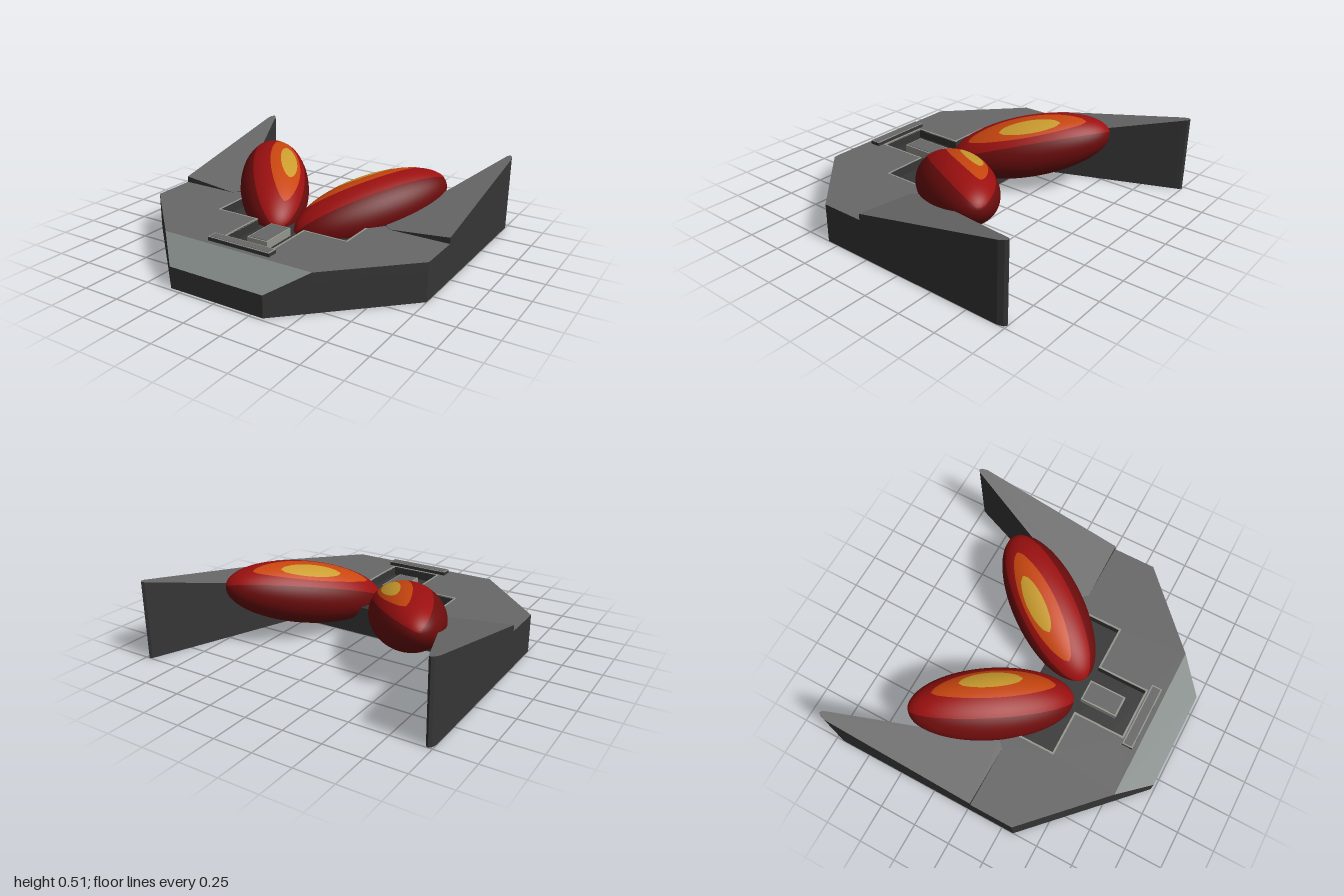
import * as THREE from 'three';

const mat = (name, color, side = THREE.FrontSide) => {
  const m = new THREE.MeshStandardMaterial({ color, side });
  m.name = name;
  return m;
};

// Upright prism over an outline of [x, z] points; top is a height or a rule (x, z) => y.
function prism(name, outline, bottom, top, topMat, sideMat) {
  const shape = new THREE.Shape(outline.map(([x, z]) => new THREE.Vector2(x, -z)));
  const g = new THREE.ExtrudeGeometry(shape, { depth: 1, bevelEnabled: false });
  g.rotateX(-Math.PI / 2);
  const p = g.attributes.position;
  for (let i = 0; i < p.count; i++) {
    const high = typeof top === 'function' ? top(p.getX(i), p.getZ(i)) : top;
    p.setY(i, p.getY(i) > 0.5 ? high : bottom);
  }
  g.computeVertexNormals();
  // lower lid and walls take the side colour, upper lid the top colour
  const lids = g.groups[0].count;
  g.clearGroups();
  g.addGroup(0, lids / 2, 1);
  g.addGroup(lids / 2, lids / 2, 0);
  g.addGroup(lids, p.count - lids, 1);
  const mesh = new THREE.Mesh(g, [topMat, sideMat]);
  mesh.name = name;
  return mesh;
}

const mirrored = (half) => [...half, ...half.map(([x, z]) => [-x, z]).reverse()];

// Part of an ellipsoid lying along z: latitudes mid +- len, angle from the top a0 +- width(s).
const RADII = [0.234, 0.2, 0.534];
function ellipsoidPatch(scale, mid, len, a0, width, rows, cols) {
  const pos = [], index = [];
  for (let i = 0; i <= rows; i++) {
    const s = (i / rows) * 2 - 1;
    const lat = mid + s * len;
    for (let j = 0; j <= cols; j++) {
      const a = a0 + ((j / cols) * 2 - 1) * width(s);
      pos.push(
        scale * RADII[0] * Math.cos(lat) * Math.sin(a),
        scale * RADII[1] * Math.cos(lat) * Math.cos(a),
        scale * RADII[2] * Math.sin(lat));
      if (i < rows && j < cols) {
        const k = i * (cols + 1) + j, n = k + cols + 1;
        index.push(k, n, k + 1, k + 1, n, n + 1);
      }
    }
  }
  const g = new THREE.BufferGeometry();
  g.setAttribute('position', new THREE.Float32BufferAttribute(pos, 3));
  g.setIndex(index);
  g.computeVertexNormals();
  return g;
}

export function createModel() {
  const model = new THREE.Group();
  model.name = 'model';

  const grey = mat('grey', 0x686868);
  const dark = mat('dark grey', 0x363636);
  const pale = mat('pale grey', 0x808783);
  const trim = mat('light trim', 0x96968f);
  const maroon = mat('maroon', 0x6c0c0c);
  const red = mat('red', 0x9c1010);
  const orange = mat('orange', 0xc8460f);
  const yellow = mat('yellow', 0xcb9c2e);

  // Base slab, its top is the floor of the recess
  const flank = [[0.56, 0], [0.6, 0.04], [1, 0.04], [1, 0.33], [0.526, 0.79]];
  model.add(prism('base', mirrored(flank), 0, 0.19, dark, dark));

  // Deck with the stepped recess open at the back
  const recess = [[0.17, 0.67], [0.17, 0.33], [0.47, 0.33], [0.47, 0]];
  model.add(prism('deck', mirrored([...recess, ...flank]), 0.19, 0.25, grey, dark));

  // Sloping nose
  model.add(prism('nose', mirrored([[0.526, 0.79], [0.33, 0.98]]), 0,
    (x, z) => 0.25 - ((z - 0.79) / 0.19) * 0.11, pale, dark));

  // Wings rising towards the back
  const wing = [[1, 0.04], [0.6, 0.04], [0.56, 0], [0.945, -0.96], [0.958, -0.99],
    [0.975, -1], [0.99, -0.985], [1, -0.95]];
  for (const side of [1, -1]) {
    model.add(prism(side > 0 ? 'leftWing' : 'rightWing', wing.map(([x, z]) => [x * side, z]), 0,
      (x, z) => 0.29 + 0.1 * (Math.abs(x) - 1) + 0.212 * (0.04 - z), grey, dark));
  }

  const box = (name, w, h, d, x, y, z, m) => {
    const b = new THREE.Mesh(new THREE.BoxGeometry(w, h, d), m);
    b.position.set(x, y, z);
    b.name = name;
    model.add(b);
  };

  // Light trim round the recess
  const t = 0.012;
  for (const s of [1, -1]) {
    box('recessTrim', t, 0.008, 0.33, s * 0.476, 0.248, 0.165, trim);
    box('recessTrim', 0.312, 0.008, t, s * 0.326, 0.248, 0.336, trim);
    box('recessTrim', t, 0.008, 0.34, s * 0.176, 0.248, 0.5, trim);
  }
  box('recessTrim', 0.364, 0.008, t, 0, 0.248, 0.676, trim);

  // Latch block in the recess and cross bar in front of it
  box('latchBlock', 0.145, 0.055, 0.25, 0, 0.2125, 0.45, trim);
  box('latchTop', 0.125, 0.006, 0.23, 0, 0.24, 0.45, grey);
  box('crossBar', 0.44, 0.025, 0.07, 0, 0.2605, 0.725, dark);
  box('crossBarRim', 0.44, 0.004, 0.07, 0, 0.273, 0.725, trim);
  box('crossBarTop', 0.424, 0.004, 0.054, 0, 0.275, 0.725, grey);

  // Pair of tilted pods with nested colour patches
  const lens = (w) => (s) => w * Math.pow(Math.max(0, 1 - s * s), 0.6) + 0.02;
  const yaw = 0.63, pitch = 0.21;
  for (const side of [1, -1]) {
    const pod = new THREE.Group();
    pod.name = side > 0 ? 'leftPod' : 'rightPod';
    const add = (name, geometry, m) => {
      const mesh = new THREE.Mesh(geometry, m);
      mesh.name = name;
      pod.add(mesh);
    };
    add('podShell', ellipsoidPatch(1, 0, Math.PI / 2, 0, () => Math.PI, 40, 48), maroon);
    add('podRedBand', ellipsoidPatch(1.006, 0, 1.5, side * 0.2, () => 0.85, 44, 24), red);
    add('podOrangePatch', ellipsoidPatch(1.012, 0, 0.82, side * 0.36, lens(0.45), 30, 14), orange);
    add('podYellowPatch', ellipsoidPatch(1.018, 0.05, 0.38, side * 0.45, lens(0.24), 16, 8), yellow);
    pod.position.set(side * 0.38, 0.284, -0.15);
    pod.lookAt(
      side * (0.38 + Math.sin(yaw) * Math.cos(pitch)),
      0.284 + Math.sin(pitch),
      -0.15 - Math.cos(yaw) * Math.cos(pitch));
    model.add(pod);
  }

  return model;
}
